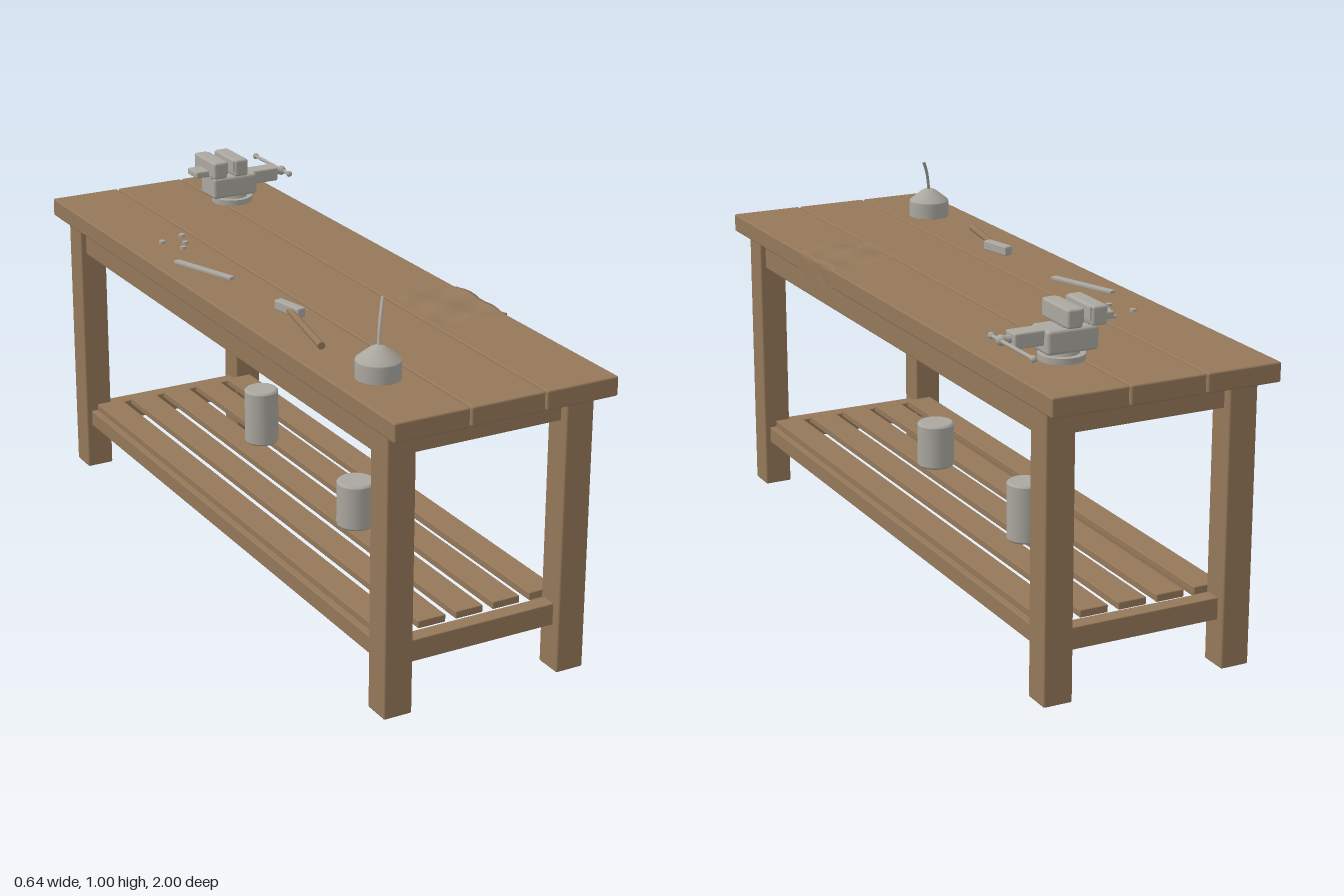
import * as THREE from 'three';
import { RoundedBoxGeometry } from 'three/addons/geometries/RoundedBoxGeometry.js';

const wood = new THREE.MeshStandardMaterial({ color: 0x94785a });
wood.name = 'wood';
const steel = new THREE.MeshStandardMaterial({ color: 0xaaa79f });
steel.name = 'steel';
const cloth = new THREE.MeshStandardMaterial({ color: 0x94785a, side: THREE.DoubleSide });
cloth.name = 'cloth';

function add(parent, name, geometry, material, x = 0, y = 0, z = 0) {
  const mesh = new THREE.Mesh(geometry, material);
  mesh.name = name;
  mesh.position.set(x, y, z);
  parent.add(mesh);
  return mesh;
}

// Box with softened edges, given by its bounds on each axis
function block(parent, name, material, [x0, x1], [y0, y1], [z0, z1], r = 0.005) {
  const g = new RoundedBoxGeometry(x1 - x0, y1 - y0, z1 - z0, 2, r);
  return add(parent, name, g, material, (x0 + x1) / 2, (y0 + y1) / 2, (z0 + z1) / 2);
}

// Cylinder between two points
function rod(parent, name, material, a, b, r0, r1 = r0) {
  const p = new THREE.Vector3(...a), q = new THREE.Vector3(...b);
  const dir = q.clone().sub(p);
  const mid = p.clone().add(q).multiplyScalar(0.5);
  const mesh = add(parent, name, new THREE.CylinderGeometry(r1, r0, dir.length(), 12), material, mid.x, mid.y, mid.z);
  mesh.quaternion.setFromUnitVectors(new THREE.Vector3(0, 1, 0), dir.normalize());
  return mesh;
}

function group(parent, name) {
  const g = new THREE.Group();
  g.name = name;
  parent.add(g);
  return g;
}

function buildBench(parent) {
  const bench = group(parent, 'bench');
  bench.position.x = -0.005;
  for (const i of [-1, 0, 1]) {
    const x = i * 0.2125;
    block(bench, 'topPlank', wood, [x - 0.104, x + 0.104], [0.768, 0.82], [-1, 1]);
  }
  for (const s of [-1, 1]) {
    for (const t of [-1, 1]) {
      const x = s * 0.255, z = t * 0.893;
      block(bench, 'leg', wood, [x - 0.04, x + 0.04], [0, 0.768], [z - 0.04, z + 0.04]);
    }
    // long rails
    block(bench, 'upperSideRail', wood, [s * 0.255 - 0.023, s * 0.255 + 0.023], [0.682, 0.762], [-0.86, 0.86], 0.003);
    block(bench, 'lowerSideRail', wood, [s * 0.255 - 0.023, s * 0.255 + 0.023], [0.133, 0.181], [-0.86, 0.86], 0.003);
    // short rails
    block(bench, 'upperEndRail', wood, [-0.22, 0.22], [0.69, 0.75], [s * 0.885 - 0.022, s * 0.885 + 0.022], 0.003);
    block(bench, 'lowerEndRail', wood, [-0.22, 0.22], [0.127, 0.187], [s * 0.885 - 0.022, s * 0.885 + 0.022], 0.003);
  }
  for (let i = -2; i <= 2; i++) {
    block(bench, 'shelfSlat', wood, [i * 0.11 - 0.04, i * 0.11 + 0.04], [0.18, 0.201], [-0.85, 0.85], 0.003);
  }
}

// Lathe from [radius, height] pairs; doubled points keep the rims sharp
function turned(parent, name, points, x, y, z) {
  const profile = points.map(([r, h]) => new THREE.Vector2(r, h));
  return add(parent, name, new THREE.LatheGeometry(profile, 32), steel, x, y, z);
}

function can(parent, x, z, r, h) {
  turned(parent, 'storageCan', [
    [0, 0], [r - 0.005, 0], [r, 0.005], [r, 0.006], [r, h - 0.006], [r, h - 0.005],
    [r - 0.005, h], [r - 0.007, h], [0, h],
  ], x, 0.201, z);
}

function buildOilCan(parent) {
  const oil = group(parent, 'oilCan');
  turned(oil, 'oilCanBody', [
    [0, 0], [0.058, 0], [0.058, 0.001], [0.058, 0.044], [0.057, 0.048],
    [0.04, 0.062], [0.022, 0.076], [0.012, 0.081], [0, 0.083],
  ], -0.205, 0.82, 0.724);
  const path = new THREE.CatmullRomCurve3([
    new THREE.Vector3(-0.205, 0.895, 0.724),
    new THREE.Vector3(-0.188, 0.953, 0.701),
    new THREE.Vector3(-0.16, 1.0, 0.665),
  ]);
  add(oil, 'spout', new THREE.TubeGeometry(path, 10, 0.0045, 8), steel);
}

function buildVise(parent) {
  const vise = group(parent, 'vise');
  vise.position.z = -0.732;
  add(vise, 'viseBase', new THREE.CylinderGeometry(0.06, 0.06, 0.016, 28), steel, 0.14, 0.828, 0);
  add(vise, 'viseNeck', new THREE.CylinderGeometry(0.04, 0.046, 0.02, 28), steel, 0.14, 0.842, 0);
  block(vise, 'viseBody', steel, [0.06, 0.202], [0.843, 0.906], [-0.045, 0.045], 0.009);
  // jaws, their grip plates and the small anvil
  block(vise, 'rearJaw', steel, [0.05, 0.093], [0.911, 0.961], [-0.068, 0.068], 0.007);
  block(vise, 'frontJaw', steel, [0.118, 0.161], [0.911, 0.961], [-0.068, 0.068], 0.007);
  block(vise, 'rearGrip', steel, [0.092, 0.097], [0.922, 0.958], [-0.062, 0.062], 0.001);
  block(vise, 'frontGrip', steel, [0.114, 0.119], [0.922, 0.958], [-0.062, 0.062], 0.001);
  for (const x of [0.072, 0.14]) {
    block(vise, 'jawNeck', steel, [x - 0.014, x + 0.014], [0.9, 0.915], [-0.032, 0.032], 0.003);
  }
  block(vise, 'anvil', steel, [0.01, 0.055], [0.911, 0.93], [-0.03, 0.03], 0.004);
  block(vise, 'slideBar', steel, [0.195, 0.282], [0.866, 0.906], [-0.025, 0.025], 0.005);
  // screw and cross handle
  rod(vise, 'screw', steel, [0.28, 0.888, 0], [0.305, 0.888, 0], 0.011);
  add(vise, 'screwHead', new THREE.SphereGeometry(0.014, 16, 12), steel, 0.306, 0.888, 0);
  rod(vise, 'handle', steel, [0.309, 0.888, -0.17], [0.309, 0.888, 0.045], 0.005);
  for (const z of [-0.17, 0.045]) {
    add(vise, 'handleKnob', new THREE.SphereGeometry(0.009, 12, 8), steel, 0.309, 0.888, z);
  }
}

function buildTools(parent) {
  const tools = group(parent, 'tools');
  rod(tools, 'hammerHandle', wood, [-0.235, 0.83, 0.495], [-0.186, 0.834, 0.235], 0.01, 0.009);
  const head = block(tools, 'hammerHead', steel, [-0.195, -0.169], [0.823, 0.85], [0.18, 0.278], 0.004);
  head.rotation.y = 0.21;
  const file = block(tools, 'file', steel, [-0.235, -0.215], [0.82, 0.829], [-0.292, -0.078], 0.002);
  file.rotation.y = 0.335;
  for (const [x, z] of [[-0.22, -0.46], [-0.145, -0.487], [-0.165, -0.424], [-0.19, -0.386]]) {
    add(tools, 'nut', new THREE.CylinderGeometry(0.009, 0.009, 0.008, 6), steel, x, 0.824, z);
  }
}

// Creased rag lying on the top and hanging over its edge
function buildRag(parent) {
  const geometry = new THREE.PlaneGeometry(1, 1, 28, 28);
  const pos = geometry.attributes.position;
  const flat = 0.2;
  for (let i = 0; i < pos.count; i++) {
    const u = pos.getX(i) + 0.5, v = 0.5 - pos.getY(i);
    const z = 0.265 + v * 0.235;
    const ripple = 0.005 * Math.sin(u * 9 + v * 4) * Math.cos(v * 7 - u * 2);
    const d = u * (flat + 0.055 + 0.012 * Math.sin(v * Math.PI));
    if (d < flat) pos.setXYZ(i, 0.111 + d, 0.826 + ripple, z);
    else pos.setXYZ(i, 0.312 + 0.4 * Math.abs(ripple), 0.823 - (d - flat), z);
  }
  geometry.computeVertexNormals();
  add(parent, 'rag', geometry, cloth);
}

export function createModel() {
  const model = new THREE.Group();
  model.name = 'workbench';
  buildBench(model);
  can(model, -0.006, 0.275, 0.053, 0.13);
  can(model, 0.04, -0.36, 0.049, 0.164);
  buildOilCan(model);
  buildVise(model);
  buildTools(model);
  buildRag(model);
  return model;
}
